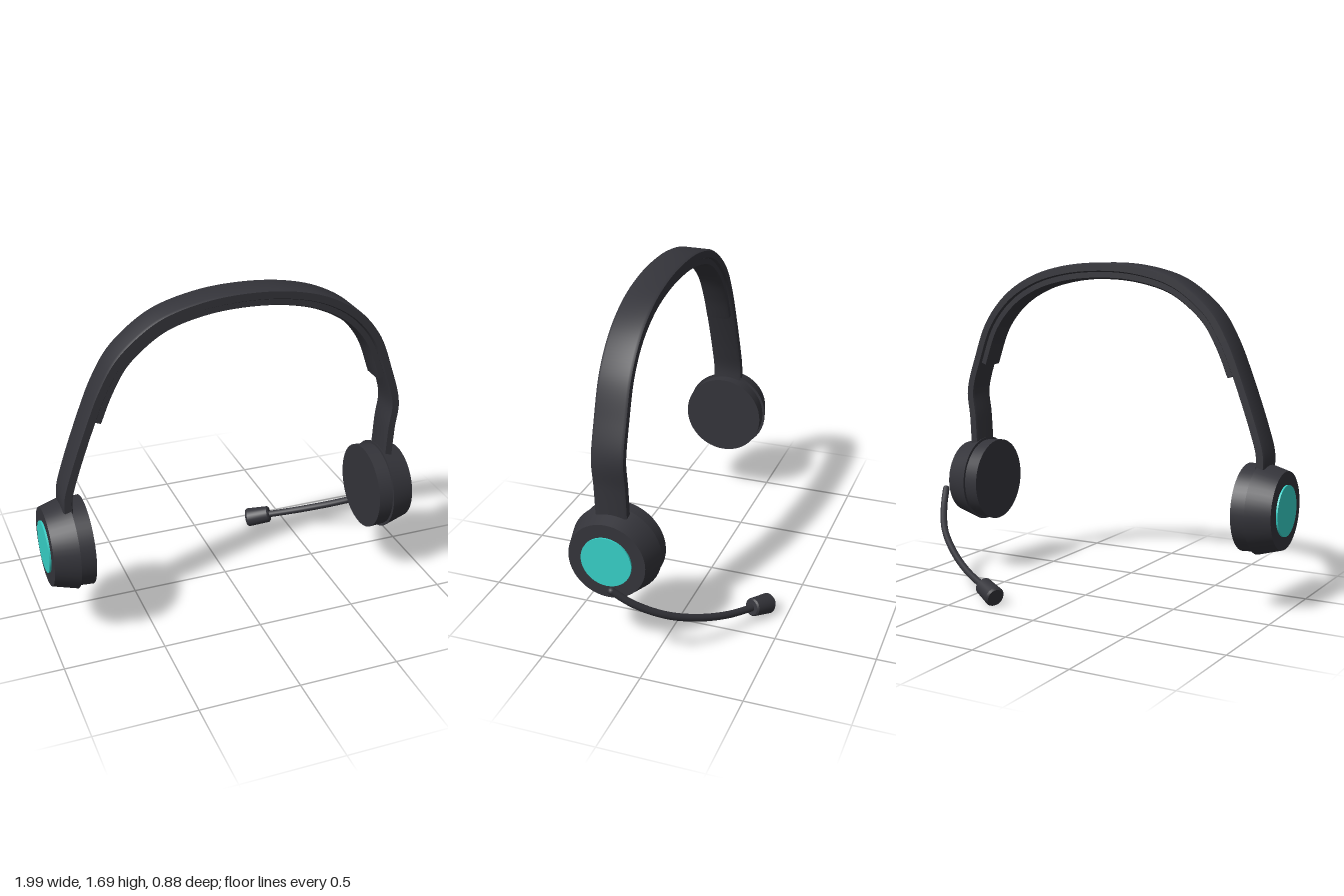
import * as THREE from 'three';
import { toCreasedNormals } from 'three/addons/utils/BufferGeometryUtils.js';

const AXIS_Z = 0.208; // depth of the band and ear cups

// Sweeps a closed (outward, z) section along a path lying in the xy plane
function sweepStrap(path, section) {
  const pos = [], index = [], n = section.length, last = path.length - 1;
  path.forEach((p, i) => {
    const t = path[Math.min(i + 1, last)].clone().sub(path[Math.max(i - 1, 0)]).normalize();
    for (const [out, z] of section) pos.push(p.x - t.y * out, p.y + t.x * out, AXIS_Z + z);
  });
  for (let i = 0; i < last; i++) {
    for (let j = 0; j < n; j++) {
      const a = i * n + j, b = i * n + (j + 1) % n;
      index.push(a, b, b + n, a, b + n, a + n);
    }
  }
  for (let j = 1; j < n - 1; j++) {
    index.push(0, j + 1, j);
    index.push(last * n, last * n + j, last * n + j + 1);
  }
  const geo = new THREE.BufferGeometry();
  geo.setAttribute('position', new THREE.Float32BufferAttribute(pos, 3));
  geo.setIndex(index);
  return toCreasedNormals(geo, 0.7);
}

// Flat strap section with slightly softened edges
function strapSection(top, bottom, half, c) {
  return [
    [top, -half + c * 2], [top, half - c * 2], [top - c, half], [bottom + c, half],
    [bottom, half - c * 2], [bottom, -half + c * 2], [bottom + c, -half], [top - c, -half],
  ];
}

export function createModel() {
  const model = new THREE.Group();
  model.name = 'headset';

  const dark = new THREE.MeshStandardMaterial({ color: 0x34343a });
  dark.name = 'charcoal plastic';
  const teal = new THREE.MeshStandardMaterial({ color: 0x36cfc6 });
  teal.name = 'teal accent';

  const add = (parent, name, geo, mat) => {
    const mesh = new THREE.Mesh(geo, mat);
    mesh.name = name;
    parent.add(mesh);
    return mesh;
  };

  // Headband, following its outer edge from the right cup to the left cup
  const outline = new THREE.CatmullRomCurve3([
    [-0.905, 0.68], [-0.905, 0.783], [-0.869, 0.912], [-0.767, 1.19], [-0.714, 1.313],
    [-0.634, 1.447], [-0.527, 1.548], [-0.404, 1.623], [-0.206, 1.676], [0, 1.69],
    [0.222, 1.671], [0.409, 1.618], [0.57, 1.521], [0.692, 1.377], [0.767, 1.19],
    [0.82, 1.0], [0.807, 0.86], [0.797, 0.68],
  ].map(([x, y]) => new THREE.Vector3(x, y, 0)));
  const path = outline.getSpacedPoints(160);
  add(model, 'headband', sweepStrap(path, strapSection(0, -0.047, 0.078, 0.006)), dark);

  // Cushion under the upper part of the band
  const cushionPath = path.filter((p) => p.y > 1.165);
  add(model, 'headbandCushion', sweepStrap(cushionPath, strapSection(-0.04, -0.083, 0.064, 0.008)), dark);

  // Ear cups: tapered shell outside, cushion inside, accent disc on the shell
  for (const [name, x, side] of [['leftEarCup', 0.745, 1], ['rightEarCup', -0.87, -1]]) {
    const cup = new THREE.Group();
    cup.name = name;
    cup.position.set(x, 0.512, AXIS_Z);
    cup.rotation.z = -side * Math.PI / 2;
    add(cup, 'earShell', new THREE.CylinderGeometry(0.192, 0.226, 0.12, 48), dark).position.y = 0.06;
    add(cup, 'earCushion', new THREE.CylinderGeometry(0.212, 0.217, 0.075, 48), dark).position.y = -0.0375;
    add(cup, 'accentDisc', new THREE.CylinderGeometry(0.126, 0.126, 0.009, 48), teal).position.y = 0.1245;
    model.add(cup);
  }

  // Microphone boom with a rounded free end
  const boom = new THREE.CatmullRomCurve3([
    [0.977, 0.438, 0.138], [0.928, 0.354, 0.05], [0.837, 0.263, -0.067],
    [0.703, 0.184, -0.175], [0.543, 0.12, -0.275], [0.375, 0.075, -0.357],
  ].map((p) => new THREE.Vector3(...p)));
  add(model, 'microphoneBoom', new THREE.TubeGeometry(boom, 40, 0.018, 12), dark);
  add(model, 'boomEnd', new THREE.SphereGeometry(0.018, 12, 8), dark).position.copy(boom.getPoint(0));

  // Microphone capsule, widening slightly away from the boom
  const capsule = toCreasedNormals(new THREE.LatheGeometry([
    [0, -0.066], [0.038, -0.066], [0.045, -0.058], [0.051, 0.055], [0.043, 0.066], [0, 0.066],
  ].map(([r, y]) => new THREE.Vector2(r, y)), 24).toNonIndexed(), 0.6);
  const mic = add(model, 'microphone', capsule, dark);
  mic.position.set(0.338, 0.066, -0.375);
  mic.quaternion.setFromUnitVectors(new THREE.Vector3(0, 1, 0), new THREE.Vector3(-0.87, -0.25, -0.43).normalize());

  return model;
}
